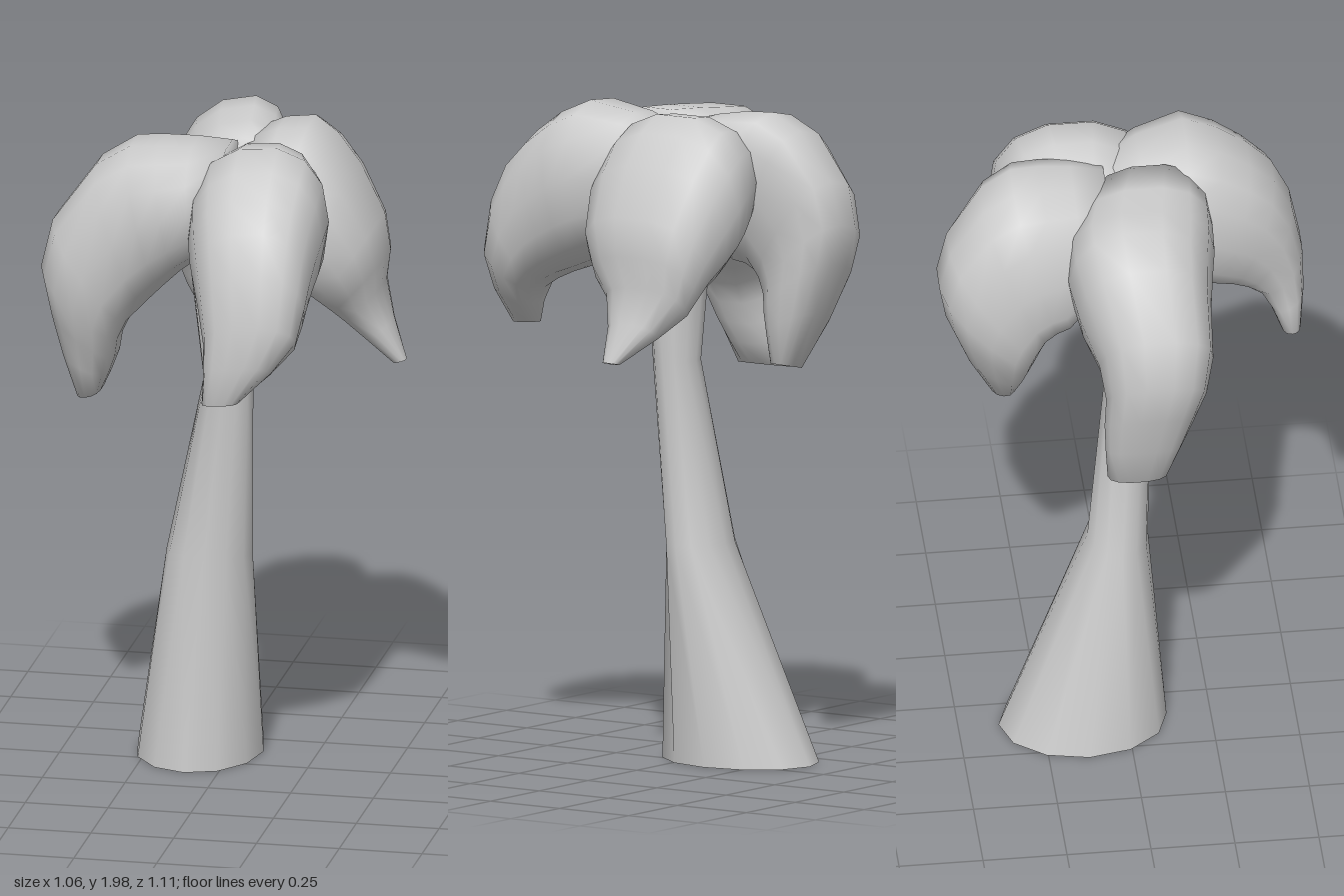
import * as THREE from 'three';

// Skin a list of closed rings ([x, y, z] points); capped ends close to a middle point.
function loft(rings, capped) {
  const n = rings[0].length, pos = rings.flat(2), index = [];
  for (let i = 0; i < rings.length - 1; i++) {
    for (let j = 0; j < n; j++) {
      const k = (j + 1) % n;
      const a = i * n + j, b = i * n + k, c = a + n, d = b + n;
      index.push(a, b, c, b, d, c);
    }
  }
  if (capped) {
    [0, rings.length - 1].forEach((r, end) => {
      const centre = pos.length / 3;
      for (let axis = 0; axis < 3; axis++) {
        pos.push(rings[r].reduce((sum, p) => sum + p[axis], 0) / n);
      }
      for (let j = 0; j < n; j++) {
        const a = r * n + j, b = r * n + (j + 1) % n;
        if (end) index.push(centre, a, b);
        else index.push(centre, b, a);
      }
    });
  }
  const g = new THREE.BufferGeometry();
  g.setAttribute('position', new THREE.Float32BufferAttribute(pos, 3));
  g.setIndex(index);
  g.computeVertexNormals();
  return g;
}

// Points round a slightly squared oval
function oval(n, power, place) {
  const soft = (v) => Math.sign(v) * Math.abs(v) ** power;
  return Array.from({ length: n }, (_, j) => {
    const t = (j / n) * Math.PI * 2;
    return place(soft(Math.cos(t)), soft(Math.sin(t)));
  });
}

// Smooth curve through [x, y, z] points
const curve = (points) => new THREE.CatmullRomCurve3(points.map((p) => new THREE.Vector3(...p)));

// Drooping leaf growing along +z, then turned about the trunk.
// Ridge points: sideways shift, height, reach. Underside points: half width, height, reach.
// Tilt raises one long edge; hang swings the underside sideways.
function makeLeaf(name, turn, material, { tilt, hang }, ridgePoints, undersidePoints) {
  const ridge = curve(ridgePoints), underside = curve(undersidePoints);
  const steps = 9, rings = [];
  for (let i = 0; i <= steps; i++) {
    const top = ridge.getPoint(i / steps), low = underside.getPoint(i / steps);
    rings.push(oval(14, 0.85, (c, u) => [
      top.x + c * low.x + (1 - u) * hang * low.x,
      (top.y + low.y) / 2 + u * (top.y - low.y) / 2 + c * tilt * low.x,
      (top.z + low.z) / 2 + u * (top.z - low.z) / 2,
    ]));
  }
  const leaf = new THREE.Mesh(loft(rings, true), material);
  leaf.name = name;
  leaf.rotation.y = turn;
  return leaf;
}

// Leaning trunk, open below
function makeTrunk() {
  const rows = [ // height, centre x, centre z, half width, half depth
    [0, -0.1, -0.13, 0.19, 0.25],
    [0.65, -0.05, -0.02, 0.13, 0.09],
    [1.2, 0.015, 0.02, 0.075, 0.07],
    [1.8, 0, 0.02, 0.13, 0.11],
  ];
  const rings = rows.map(([y, x, z, w, d]) => oval(12, 1, (c, u) => [x + c * w, y, z - u * d]));
  const trunk = new THREE.Mesh(
    loft(rings, false),
    new THREE.MeshStandardMaterial({ color: 0xcccccc, side: THREE.DoubleSide }),
  );
  trunk.name = 'trunk';
  return trunk;
}

export function createModel() {
  const model = new THREE.Group();
  model.name = 'palmTree';
  const material = new THREE.MeshStandardMaterial({ color: 0xcccccc });
  model.add(makeTrunk());

  // Broad leaf over the front
  model.add(makeLeaf('frontLeaf', 0, material, { tilt: 0.08, hang: 0 },
    [[0.11, 1.88, -0.1], [0.14, 1.985, 0.18], [0.15, 1.9, 0.36], [0.165, 1.76, 0.49], [0.17, 1.5, 0.555], [0.09, 1.28, 0.54]],
    [[0.11, 1.62, -0.05], [0.21, 1.51, 0.16], [0.195, 1.47, 0.26], [0.17, 1.44, 0.34], [0.135, 1.39, 0.42], [0.055, 1.28, 0.48]]));

  // Long leaf at the model's right
  model.add(makeLeaf('rightLeaf', -Math.PI / 2, material, { tilt: 0, hang: 0 },
    [[0.08, 1.95, -0.03], [0.04, 1.94, 0.16], [0.03, 1.91, 0.32], [0.06, 1.62, 0.53], [0.03, 1.38, 0.51], [0, 1.13, 0.44]],
    [[0.18, 1.65, -0.02], [0.22, 1.56, 0.1], [0.205, 1.46, 0.2], [0.16, 1.36, 0.29], [0.13, 1.25, 0.32], [0.09, 1.14, 0.37]]));

  // Leaf over the back, sloping towards the model's right
  model.add(makeLeaf('backLeaf', Math.PI, material, { tilt: -0.2, hang: 0.12 },
    [[-0.01, 1.92, 0.05], [0.01, 1.96, 0.23], [0.03, 1.95, 0.38], [0.05, 1.71, 0.55], [0.03, 1.5, 0.53], [0, 1.21, 0.4]],
    [[0.15, 1.65, 0.05], [0.18, 1.5, 0.16], [0.18, 1.48, 0.22], [0.15, 1.4, 0.26], [0.13, 1.33, 0.28], [0.06, 1.21, 0.32]]));

  // Leaf at the model's left, its thin tip flicking outward
  model.add(makeLeaf('leftLeaf', Math.PI / 2, material, { tilt: 0, hang: 0 },
    [[0.13, 1.92, 0.05], [0.13, 1.975, 0.22], [0.12, 1.88, 0.34], [0.12, 1.63, 0.465], [0.14, 1.46, 0.455], [0.09, 1.26, 0.53]],
    [[0.18, 1.65, 0.05], [0.24, 1.52, 0.17], [0.25, 1.47, 0.22], [0.2, 1.42, 0.29], [0.13, 1.36, 0.35], [0.025, 1.25, 0.49]]));

  return model;
}
